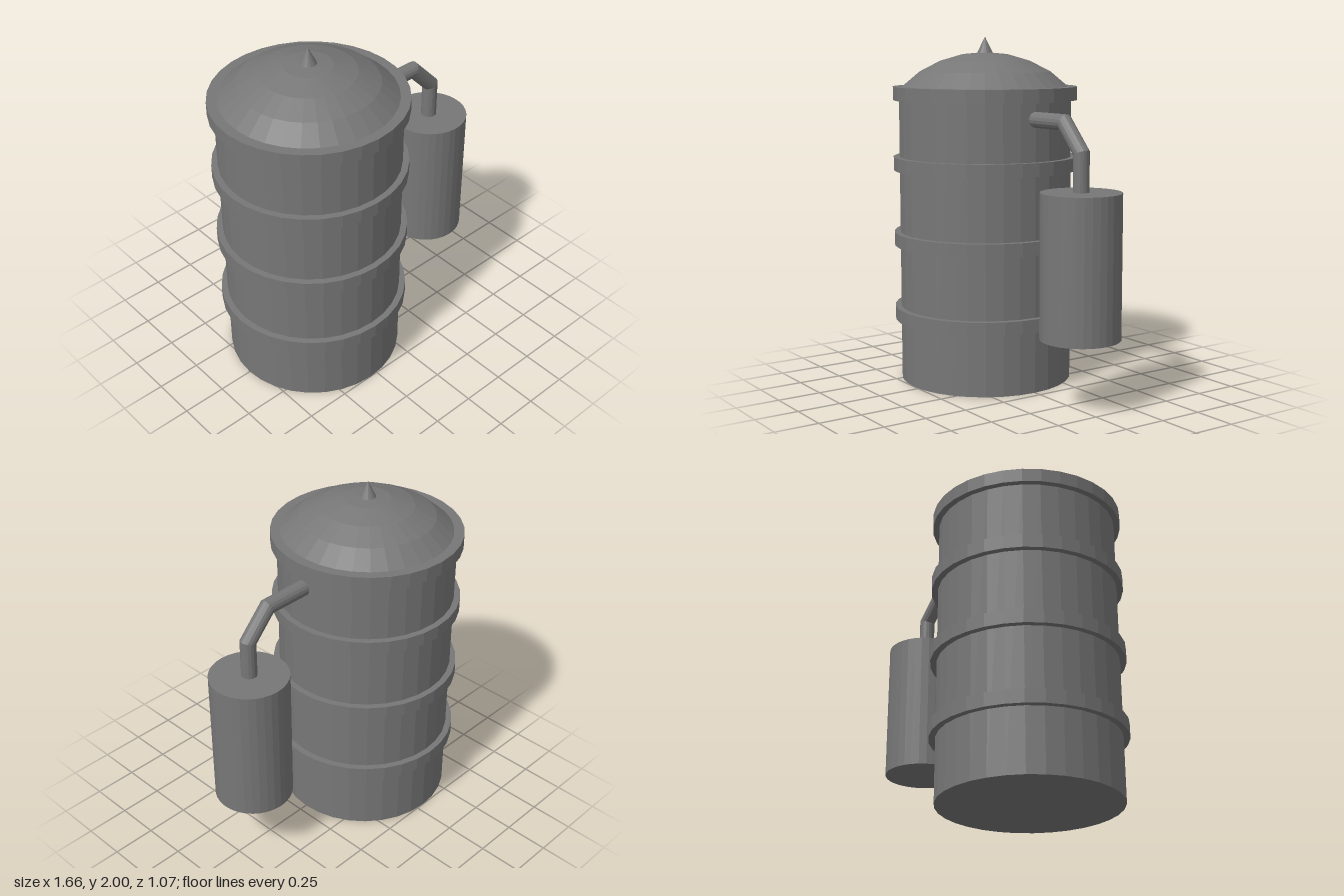
import * as THREE from 'three';

const material = new THREE.MeshStandardMaterial({ color: 0x777777, flatShading: true });
const TANK_X = -0.297;
const SIDES = 32;

// Mitred round pipe along a path in the XY plane, closed at both ends
function mitredPipe(points, radius, sides) {
  const normals = [];
  for (let i = 0; i < points.length - 1; i++) {
    const d = points[i + 1].clone().sub(points[i]).normalize();
    normals.push(new THREE.Vector2(-d.y, d.x));
  }
  const pos = [], index = [];
  points.forEach((p, i) => {
    const a = normals[Math.max(i - 1, 0)];
    const b = normals[Math.min(i, normals.length - 1)];
    const m = a.clone().add(b).divideScalar(1 + a.dot(b));
    for (let k = 0; k < sides; k++) {
      const t = (k / sides) * Math.PI * 2;
      const s = radius * Math.cos(t);
      pos.push(p.x + m.x * s, p.y + m.y * s, radius * Math.sin(t));
    }
  });
  for (let i = 0; i < points.length - 1; i++) {
    for (let k = 0; k < sides; k++) {
      const a = i * sides + k, b = i * sides + ((k + 1) % sides);
      index.push(a, b, a + sides, b, b + sides, a + sides);
    }
  }
  const last = (points.length - 1) * sides;
  for (let k = 1; k < sides - 1; k++) {
    index.push(0, k + 1, k, last, last + k, last + k + 1);
  }
  const g = new THREE.BufferGeometry();
  g.setAttribute('position', new THREE.Float32BufferAttribute(pos, 3));
  g.setIndex(index);
  g.computeVertexNormals();
  return g;
}

export function createModel() {
  const model = new THREE.Group();
  model.name = 'barrelStill';

  const add = (name, geometry, x = 0, y = 0) => {
    const mesh = new THREE.Mesh(geometry, material);
    mesh.name = name;
    mesh.position.set(x, y, 0);
    model.add(mesh);
  };

  // Main tank
  add('tank', new THREE.CylinderGeometry(0.5, 0.5, 1.7, SIDES), TANK_X, 0.85);

  // Hoops around the tank, the highest forming its rim
  [0.396, 0.835, 1.273, 1.677].forEach((y, i) => {
    add(`hoop${i + 1}`, new THREE.CylinderGeometry(0.535, 0.535, 0.077, SIDES), TANK_X, y);
  });

  // Domed lid and pointed finial
  const dome = [[0.48, 1.715], [0.38, 1.8], [0.26, 1.862], [0.13, 1.9], [0, 1.912]]
    .map(([r, y]) => new THREE.Vector2(r, y));
  add('domedLid', new THREE.LatheGeometry(dome, SIDES), TANK_X);
  add('finial', new THREE.ConeGeometry(0.05, 0.1, 16), TANK_X, 1.95);

  // Bent outlet pipe from the tank into the side canister
  const path = [[0.14, 1.547], [0.463, 1.547], [0.609, 1.393], [0.609, 1.17]]
    .map(([x, y]) => new THREE.Vector2(x, y));
  add('outletPipe', mitredPipe(path, 0.044, 16));

  // Side canister
  add('canister', new THREE.CylinderGeometry(0.22, 0.22, 0.79, 32), 0.611, 0.792);

  return model;
}
